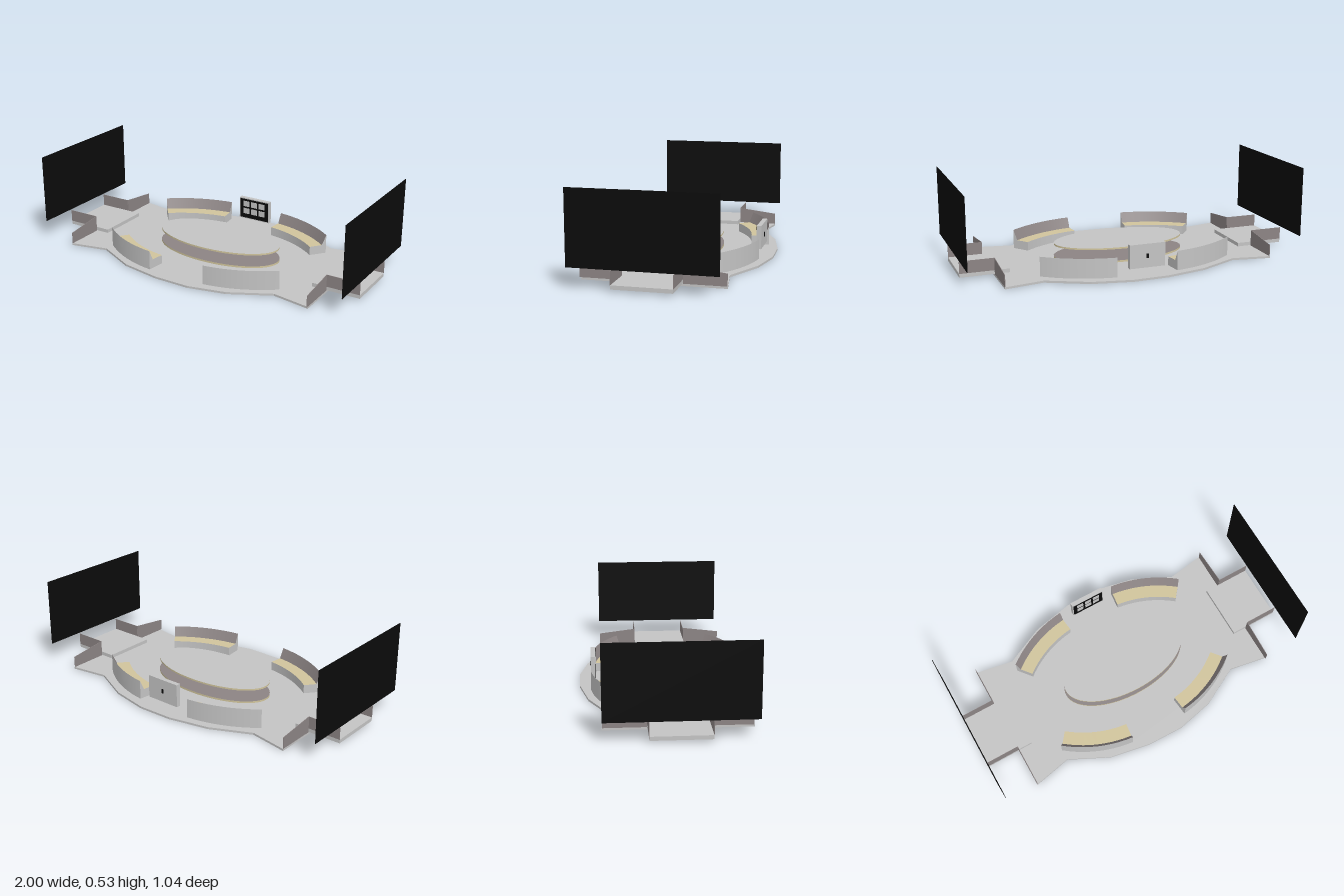
import * as THREE from 'three';

export function createModel() {
  const mat = (name, color, side = THREE.FrontSide) => {
    const m = new THREE.MeshStandardMaterial({ color, side });
    m.name = name;
    return m;
  };
  const light = mat('light gray', 0xc4c4c4, THREE.DoubleSide);
  const warm = mat('warm gray', 0x8c8484, THREE.DoubleSide);
  const beige = mat('beige', 0xd0c49c, THREE.DoubleSide);
  const black = mat('black', 0x0b0b0b);

  const root = new THREE.Group();
  const add = (name, geo, material, parent = root) => {
    const mesh = new THREE.Mesh(geo, material);
    mesh.name = name;
    parent.add(mesh);
    return mesh;
  };
  // box given by its minimum and maximum corners
  const box = (name, [x0, y0, z0], [x1, y1, z1], material, parent) => {
    const geo = new THREE.BoxGeometry(x1 - x0, y1 - y0, z1 - z0);
    geo.translate((x0 + x1) / 2, (y0 + y1) / 2, (z0 + z1) / 2);
    return add(name, geo, material, parent);
  };

  // floor plate with an oval opening
  const FLOOR = 0.012, CX = 0.008, RX = 0.395, RZ = 0.2;
  const outline = [
    [-0.8, -0.4], [-0.575, -0.36], [-0.34, -0.47], [-0.1, -0.52],
    [0.11, -0.525], [0.34, -0.478], [0.575, -0.365], [0.8, -0.4],
    [0.8, 0.39], [0.575, 0.35], [0.34, 0.472], [0.12, 0.52],
    [-0.1, 0.515], [-0.34, 0.47], [-0.575, 0.353], [-0.8, 0.4],
  ];
  const floor = new THREE.Shape(outline.map(([x, z]) => new THREE.Vector2(x, z)));
  floor.holes.push(new THREE.Path().absellipse(CX, 0, RX, RZ, 0, Math.PI * 2, true));
  const floorGeo = new THREE.ExtrudeGeometry(floor, { depth: FLOOR, bevelEnabled: false, curveSegments: 32 });
  floorGeo.rotateX(Math.PI / 2).translate(0, FLOOR, 0);
  add('floor', floorGeo, light);

  // oval discs: the opening's rim, the inset and the raised table top
  const oval = (name, y0, y1, grow, materials, open = false) => {
    const geo = new THREE.CylinderGeometry(1, 1, y1 - y0, 64, 1, open);
    geo.scale(RX + grow, 1, RZ + grow).translate(CX, (y0 + y1) / 2, 0);
    add(name, geo, materials);
  };
  oval('openingRim', 0, FLOOR, -0.001, beige, true);
  oval('ovalBase', FLOOR, 0.023, 0.002, [beige, warm, warm]);
  oval('ovalTableTop', 0.091, 0.101, 0, [beige, light, warm]);

  // four curved benches, each swept from one profile
  const RO = 0.7625, RI = 0.6575, RB = 0.735, SEAT = 0.065, TOP = 0.126;
  const A0 = THREE.MathUtils.degToRad(6.4), SWEEP = THREE.MathUtils.degToRad(32.6);
  const profile = [[RO, FLOOR], [RO, TOP], [RB, SEAT], [RI, SEAT], [RI, FLOOR]]
    .map(([r, y]) => new THREE.Vector2(r, y));
  const strips = [['benchBack', light], ['backrest', warm], ['seat', beige], ['benchFront', light]];
  for (const sx of [1, -1]) for (const sz of [1, -1]) {
    const bench = new THREE.Group();
    bench.name = 'bench';
    bench.position.set(0.095 * sx, 0, -0.303 * sz);
    let start = sx > 0 ? A0 : -A0 - SWEEP;
    if (sz < 0) start = Math.PI - start - SWEEP;
    strips.forEach(([name, material], i) =>
      add(name, new THREE.LatheGeometry([profile[i], profile[i + 1]], 10, start, SWEEP), material, bench));
    for (const phi of [start, start + SWEEP]) {
      const end = add('benchEnd', new THREE.ShapeGeometry(new THREE.Shape(profile)), light, bench);
      end.rotation.y = phi - Math.PI / 2;
    }
    root.add(bench);
  }

  // entrance at each end: platform, side panels, sloped walls and large screen
  for (const s of [1, -1]) {
    const entrance = new THREE.Group();
    entrance.name = 'entrance';
    const span = (name, a, b, material) => {
      const [x0, x1] = s > 0 ? [a[0], b[0]] : [-b[0], -a[0]];
      return box(name, [x0, a[1], a[2]], [x1, b[1], b[2]], material, entrance);
    };
    span('platform', [0.712, 0.014, -0.163], [0.998, 0.036, 0.163], light);
    span('screen', [0.997, 0.115, -0.4], [1, 0.527, 0.4], black);
    for (const z of [1, -1]) {
      span('sidePanel', [0.8, 0.036, z * 0.164 - 0.001], [0.998, 0.108, z * 0.164 + 0.001], warm);
      const wall = new THREE.Shape([
        new THREE.Vector2(0.165, FLOOR), new THREE.Vector2(0.398, FLOOR),
        new THREE.Vector2(0.398, 0.08), new THREE.Vector2(0.165, 0.108),
      ]);
      const geo = new THREE.ExtrudeGeometry(wall, { depth: 0.003, bevelEnabled: false });
      geo.rotateY(z > 0 ? -Math.PI / 2 : Math.PI / 2);
      geo.translate(s * 0.7985 + z * 0.0015, 0, 0);
      add('slopedWall', geo, warm, entrance);
    }
    root.add(entrance);
  }

  // display board with a grid of six tiles
  const board = new THREE.Group();
  board.name = 'displayBoard';
  box('boardBody', [-0.104, 0.05, -0.455], [0.108, 0.187, -0.428], light, board);
  box('boardFace', [-0.098, 0.056, -0.428], [0.102, 0.181, -0.426], black, board);
  for (const x of [-0.053, 0.002, 0.057]) for (const y of [0.15, 0.102]) {
    box('tile', [x - 0.021, y - 0.018, -0.426], [x + 0.021, y + 0.018, -0.424], light, board);
  }
  box('rearSocket', [-0.004, 0.105, -0.459], [0.008, 0.13, -0.455], black, board);
  root.add(board);

  return root;
}
